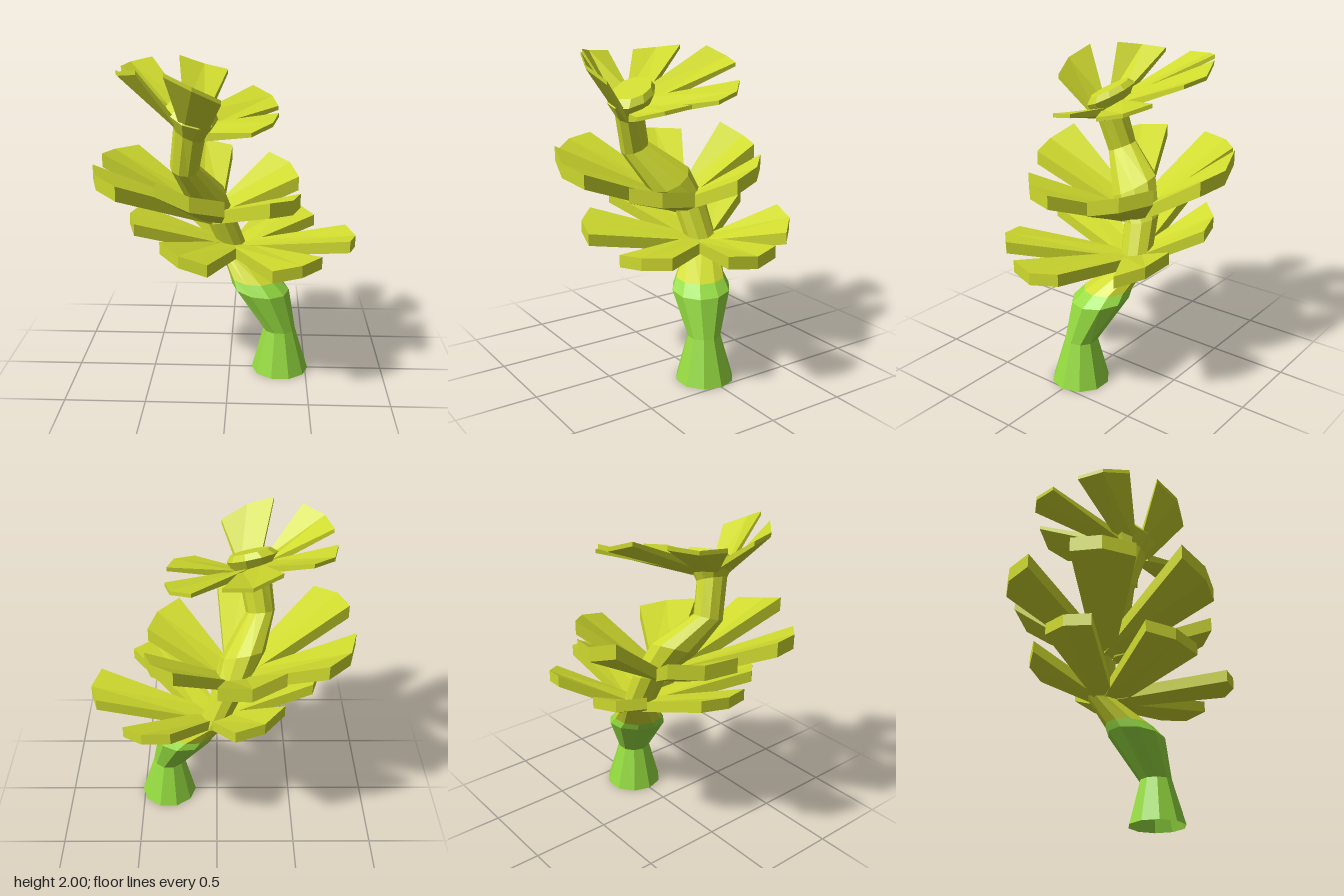
import * as THREE from 'three';

const green = new THREE.MeshStandardMaterial({ color: 0x95db40, side: THREE.DoubleSide });
green.name = 'stemGreen';
const yellow = new THREE.MeshStandardMaterial({ color: 0xcfda2e });
yellow.name = 'leafYellow';

// Faceted geometry from points and polygons (fans, counter-clockwise from outside)
function faceted(points, faces) {
  const pos = [];
  for (const f of faces)
    for (let i = 1; i < f.length - 1; i++)
      for (const k of [f[0], f[i], f[i + 1]]) pos.push(...points[k]);
  const g = new THREE.BufferGeometry();
  g.setAttribute('position', new THREE.Float32BufferAttribute(pos, 3));
  g.computeVertexNormals();
  return g;
}

// Ring loft; each ring is [x, y, z, radius, slope along x, slope along z]
function loft(rings, capTop) {
  const n = 10, points = [], faces = [];
  for (const [x, y, z, r, sx, sz] of rings)
    for (let i = 0; i < n; i++) {
      const a = i / n * Math.PI * 2;
      const dx = r * Math.cos(a), dz = r * Math.sin(a);
      points.push([x + dx, y + sx * dx + sz * dz, z + dz]);
    }
  for (let j = 0; j < rings.length - 1; j++)
    for (let i = 0; i < n; i++) {
      const a = j * n + i, b = j * n + (i + 1) % n;
      faces.push([a, a + n, b + n, b]);
    }
  if (capTop) {
    const top = (rings.length - 1) * n;
    faces.push(Array.from({ length: n }, (_, i) => top + n - 1 - i));
  }
  return faceted(points, faces);
}

// Thick leaf with a narrow root, widening to a blunt three-point end
function leaf(w, angle, [yLow, yTip, yHigh]) {
  const c = Math.cos(angle), s = Math.sin(angle);
  const [bx, by, bz] = w.base;
  const tip = [w.cx + w.rx * c, w.cz + w.rz * s];
  // true direction from root to tip, seen from above
  const len = Math.hypot(tip[0] - bx, tip[1] - bz);
  const dx = (tip[0] - bx) / len, dz = (tip[1] - bz) / len;
  const root = side => {
    const x = dx * w.reach - dz * 0.06 * side, z = dz * w.reach + dx * 0.06 * side;
    return [bx + x, by + w.rootSlope[0] * x + w.rootSlope[1] * z, bz + z];
  };
  const end = (side, back, y) => [
    tip[0] - c * back - s * w.half * side, y, tip[1] - s * back + c * w.half * side];
  const top = [root(1), end(1, 0.05, yHigh), end(0, 0, yTip), end(-1, 0.05, yLow), root(-1)];
  const bottom = top.map(([x, y, z], i) => [x, y - (i % 4 ? w.thick : w.rootThick), z]);
  const faces = [[2, 3, 4, 0, 1], [7, 6, 5, 9, 8]];
  for (let i = 0; i < 5; i++) {
    const k = (i + 1) % 5;
    faces.push([i, i + 5, k + 5, k]);
  }
  return faceted([...top, ...bottom], faces);
}

export function createModel() {
  const model = new THREE.Group();
  model.name = 'leafyPlant';
  const add = (parent, name, geometry, material) => {
    const m = new THREE.Mesh(geometry, material);
    m.name = name;
    parent.add(m);
  };

  // Stem: green foot, then the yellow crooked upper part
  const joint = [0.155, 0.61, -0.088, 0.157, -0.06, -0.05];
  add(model, 'lowerStem', loft([
    [0.333, 0, 0, 0.184, 0, 0],
    [0.325, 0.285, 0, 0.104, 0, 0],
    [0.2, 0.55, -0.063, 0.186, -0.1, -0.08],
    joint,
  ]), green);
  add(model, 'upperStem', loft([
    joint,
    [0.02, 0.77, -0.2, 0.1, -0.2, -0.1],
    [-0.085, 1.03, -0.165, 0.11, -0.2, -0.1],
    [-0.16, 1.19, -0.05, 0.14, -0.2, -0.5],
    [-0.27, 1.39, 0.13, 0.09, -0.1, -0.4],
    [-0.235, 1.61, 0.185, 0.093, -0.45, -0.2],
  ]), yellow);

  // Crown: flared collar and smaller tilted cap
  add(model, 'crown', loft([
    [-0.235, 1.61, 0.185, 0.093, -0.45, -0.2],
    [-0.215, 1.735, 0.183, 0.154, -0.25, -0.42],
    [-0.2, 1.775, 0.18, 0.12, -0.25, -0.42],
  ], true), yellow);

  // Three tilted whorls of six leaves; heights of each blunt end as [corner, tip, corner]
  const whorls = [
    { name: 'lowerLeaves', base: [0.03, 0.82, -0.17], rootSlope: [-0.1, -0.05], reach: 0.05,
      cx: 0.08, cz: -0.025, rx: 0.72, rz: 0.63, half: 0.17, thick: 0.075, rootThick: 0.07, turn: 0,
      heights: [[0.94, 0.92, 0.935], [0.92, 0.91, 0.89], [0.92, 0.96, 1.0],
        [1.03, 1.05, 1.06], [1.09, 1.06, 1.03], [1.02, 0.98, 0.93]] },
    { name: 'middleLeaves', base: [-0.11, 1.07, -0.1], rootSlope: [-0.1, -0.1], reach: 0.05,
      cx: -0.195, cz: 0, rx: 0.67, rz: 0.685, half: 0.19, thick: 0.09, rootThick: 0.08, turn: 30,
      heights: [[1.24, 1.25, 1.27], [1.32, 1.36, 1.43], [1.36, 1.39, 1.41],
        [1.41, 1.4, 1.4], [1.47, 1.4, 1.37], [1.36, 1.32, 1.27]] },
    { name: 'upperLeaves', base: [-0.21, 1.68, 0.18], rootSlope: [-0.35, -0.4], reach: 0.08,
      cx: -0.19, cz: -0.015, rx: 0.52, rz: 0.52, half: 0.16, thick: 0.025, rootThick: 0.05, turn: 30,
      heights: [[1.72, 1.69, 1.65], [1.85, 1.93, 2.0], [2.0, 1.98, 1.97],
        [1.97, 1.98, 2.0], [2.0, 1.94, 1.91], [1.82, 1.77, 1.73]] },
  ];
  for (const w of whorls) {
    const group = new THREE.Group();
    group.name = w.name;
    w.heights.forEach((h, i) =>
      add(group, 'leaf', leaf(w, THREE.MathUtils.degToRad(w.turn + i * 60), h), yellow));
    model.add(group);
  }
  return model;
}
